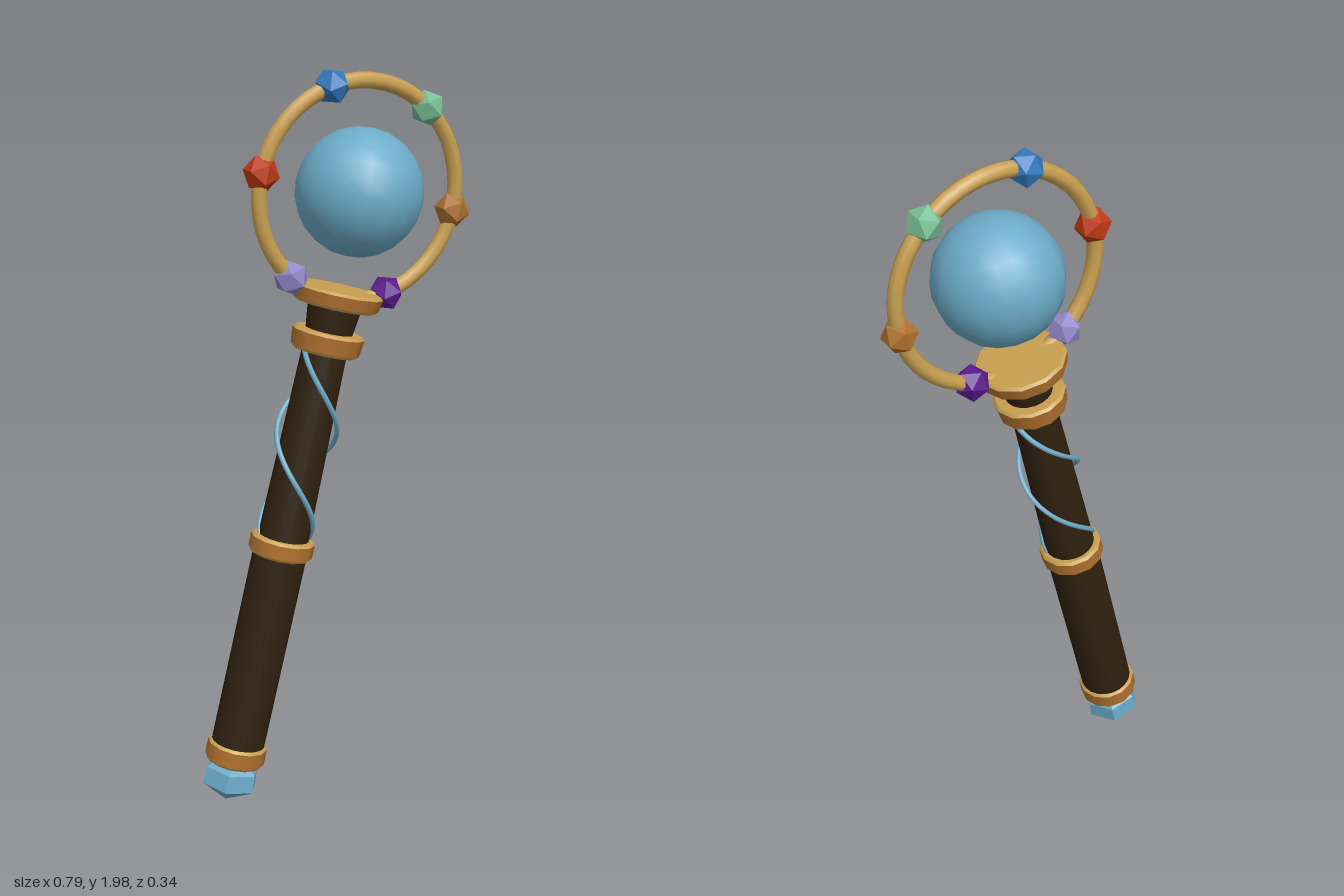
import * as THREE from 'three';

const mat = (name, color) => Object.assign(new THREE.MeshStandardMaterial({ color }), { name });

export function createModel() {
  const wood = mat('darkWood', 0x2f210f);
  const crystal = mat('paleBlueCrystal', 0x6cabc8);
  const gold = mat('gold', 0xc89f50);
  const bronze = mat('bronze', 0xae702e);
  const gemMats = [
    bronze,
    mat('greenGem', 0x76bd92),
    mat('blueGem', 0x3079bd),
    mat('redGem', 0xc03a14),
    mat('lavenderGem', 0x9186c6),
    mat('purpleGem', 0x5c1a8e),
  ];

  const model = new THREE.Group();
  model.name = 'sceptre';
  // Everything is built along a local y axis, which starts at the pommel tip and leans to +x
  const body = new THREE.Group();
  body.name = 'leaningBody';
  body.position.set(-0.33, 0.008, 0);
  body.rotation.z = -0.2414;
  model.add(body);

  const add = (name, geometry, material, y = 0, parent = body) => {
    const mesh = new THREE.Mesh(geometry, material);
    mesh.name = name;
    mesh.position.y = y;
    parent.add(mesh);
    return mesh;
  };
  // Tapered round section between two heights
  const section = (name, y0, y1, r0, r1, material, sides = 20) =>
    add(name, new THREE.CylinderGeometry(r1, r0, y1 - y0, sides), material, (y0 + y1) / 2);

  // Pommel: six-sided crystal
  const pommelProfile = [[0, 0], [0.081, 0.05], [0.077, 0.098], [0.05, 0.122], [0, 0.122]]
    .map(([r, y]) => new THREE.Vector2(r, y));
  const pommel = new THREE.LatheGeometry(pommelProfile, 6, Math.PI / 2).toNonIndexed();
  pommel.computeVertexNormals();
  add('pommel', pommel, crystal);

  // Shaft
  section('grip', 0.12, 0.75, 0.074, 0.074, wood);
  section('upperShaft', 0.75, 1.32, 0.07, 0.06, wood);
  section('neck', 1.32, 1.43, 0.06, 0.074, wood);

  // Collars: bronze side with bevelled gold rims
  const collar = (name, y, height, r0, r1) => {
    const group = new THREE.Group();
    group.name = name;
    group.position.y = y;
    body.add(group);
    const bevel = 0.007, sides = 12, inner = height - 2 * bevel;
    add('side', new THREE.CylinderGeometry(r1, r0, inner, sides, 1, true), bronze, 0, group);
    add('topRim', new THREE.CylinderGeometry(r1 - bevel, r1, bevel, sides), gold, (inner + bevel) / 2, group);
    add('bottomRim', new THREE.CylinderGeometry(r0, r0 - bevel, bevel, sides), gold, -(inner + bevel) / 2, group);
  };
  collar('lowerCollar', 0.146, 0.058, 0.083, 0.083);
  collar('middleCollar', 0.75, 0.052, 0.088, 0.088);
  collar('upperCollar', 1.318, 0.058, 0.092, 0.097);
  collar('headPlate', 1.438, 0.046, 0.116, 0.122);

  // Two vines, each making one turn round the upper shaft
  for (const start of [0, Math.PI]) {
    const points = [];
    for (let i = 0; i <= 16; i++) {
      const u = i / 16, a = start + u * Math.PI * 2;
      const r = 0.068 + 0.012 * Math.sin(Math.PI * u);
      points.push(new THREE.Vector3(r * Math.cos(a), 0.76 + 0.55 * u, r * Math.sin(a)));
    }
    add('vine', new THREE.TubeGeometry(new THREE.CatmullRomCurve3(points), 48, 0.007, 6), crystal);
  }

  // Head: orb floating inside a jewelled ring
  const head = new THREE.Group();
  head.name = 'head';
  head.position.y = 1.715;
  body.add(head);
  const R = 0.284;
  add('orb', new THREE.SphereGeometry(0.168, 16, 12), crystal, 0, head);
  add('ring', new THREE.TorusGeometry(R, 0.021, 8, 48), gold, 0, head);
  gemMats.forEach((material, i) => {
    const a = (i * Math.PI) / 3;
    const gem = add('ringGem', new THREE.IcosahedronGeometry(0.048, 0), material, 0, head);
    gem.position.set(R * Math.cos(a), R * Math.sin(a), 0);
    gem.rotation.z = a;
  });

  return model;
}
